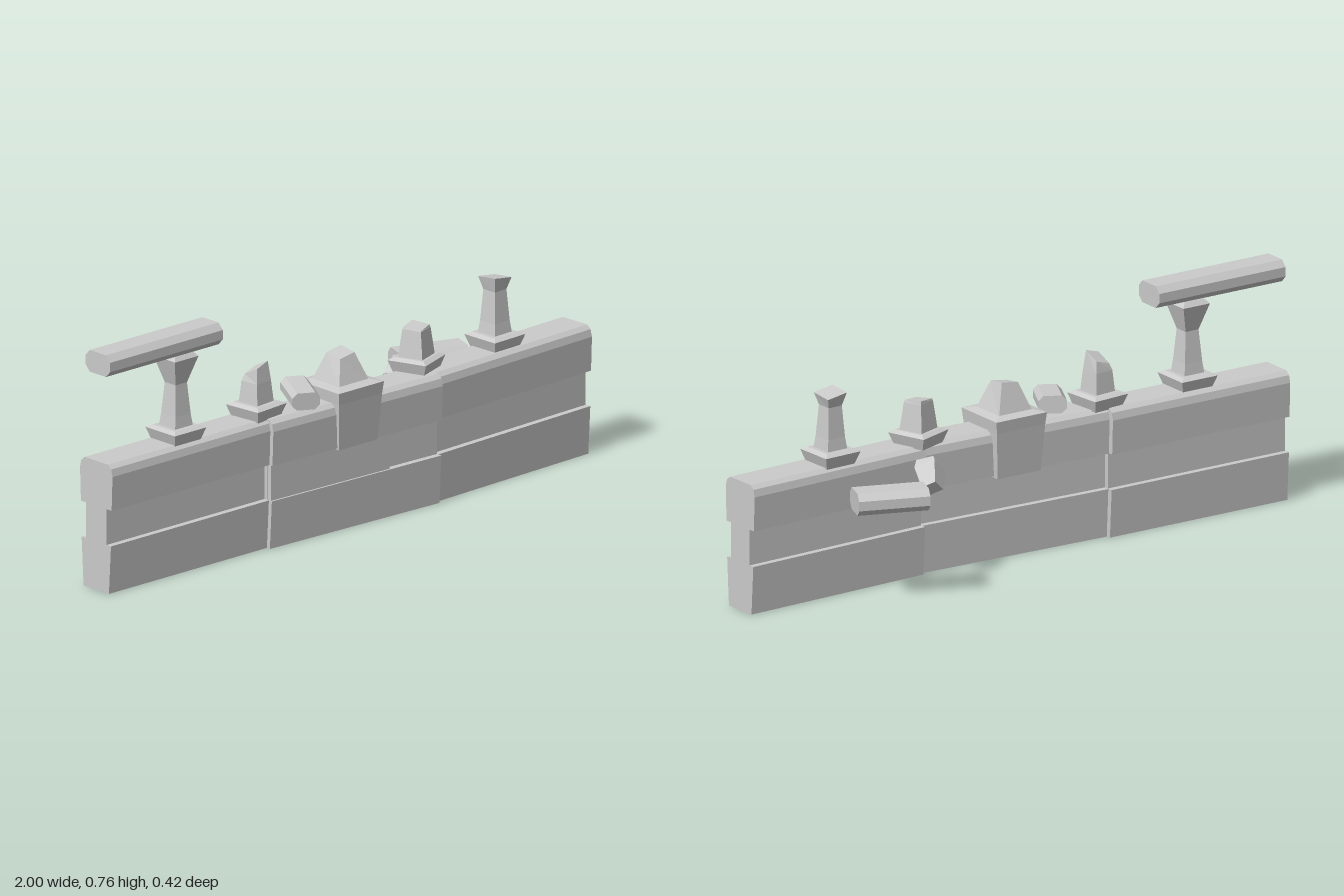
import * as THREE from 'three';

const material = new THREE.MeshStandardMaterial({ color: 0xcccccc, flatShading: true });

function facet(geometry) {
  const g = geometry.index ? geometry.toNonIndexed() : geometry;
  g.computeVertexNormals();
  return g;
}

function add(parent, name, geometry, x = 0, y = 0, z = 0) {
  const mesh = new THREE.Mesh(facet(geometry), material);
  mesh.name = name;
  mesh.position.set(x, y, z);
  parent.add(mesh);
  return mesh;
}

// Symmetric profile (half width, height) swept along x, centred on x = 0
function bar(half, length) {
  const mirrored = half.slice().reverse().map(([w, y]) => [-w, y]);
  const shape = new THREE.Shape([...half, ...mirrored].map(([w, y]) => new THREE.Vector2(w, y)));
  return new THREE.ExtrudeGeometry(shape, { depth: length, bevelEnabled: false })
    .translate(0, 0, -length / 2).rotateY(Math.PI / 2);
}

// Square column from (half width, height) rings; the top ring can be cut aslant
function column(rings, slantX = 0, slantZ = 0) {
  const top = rings[rings.length - 1][1];
  const points = [[0, rings[0][1]], ...rings, [0, top]]
    .map(([w, y]) => new THREE.Vector2(w * Math.SQRT2, y));
  const g = new THREE.LatheGeometry(points, 4).rotateY(Math.PI / 4);
  const p = g.attributes.position;
  for (let i = 0; i < p.count; i++) {
    if (Math.abs(p.getY(i) - top) < 1e-5) p.setY(i, top + slantX * p.getX(i) + slantZ * p.getZ(i));
  }
  return g;
}

const wallProfile = [
  [0.057, 0.005], [0.066, 0.16], [0.046, 0.16], [0.046, 0.275],
  [0.069, 0.275], [0.073, 0.385], [0.067, 0.408], [0.052, 0.42],
];
const railProfile = [
  [0.036, -0.035], [0.055, -0.015], [0.055, 0.015], [0.036, 0.035],
];

export function createModel() {
  const model = new THREE.Group();
  model.name = 'ruinedWall';

  // Three wall lengths, each set at a slightly different angle
  const segments = [
    ['rightWall', -1, -0.34, 0.088, 0.088],
    ['middleWall', -0.34, 0.345, 0.102, 0.126],
    ['leftWall', 0.34, 1, 0.112, 0.084],
  ];
  for (const [name, x0, x1, z0, z1] of segments) {
    const wall = add(model, name, bar(wallProfile, x1 - x0), (x0 + x1) / 2, 0, (z0 + z1) / 2);
    wall.rotation.y = -Math.atan2(z1 - z0, x1 - x0);
  }

  // Stone panel filling part of the recessed band
  const panel = add(model, 'bandPanel', new THREE.BoxGeometry(0.48, 0.115, 0.04), -0.1, 0.217, 0.15);
  panel.rotation.y = -0.036;

  // Central pier with a pointed cap
  add(model, 'centrePier', column([[0.08, 0.27], [0.09, 0.42], [0.094, 0.458], [0.062, 0.465]]), 0, 0, 0.108);
  add(model, 'pierCap', column([[0.062, 0.46], [0.03, 0.55]], 0.15, -0.15), 0, 0, 0.108);

  // Posts on flared footings: one whole, three broken at different heights
  const posts = [
    ['wholePost', -0.67, 0.09, 0, 0, 0,
      [[0.037, 0.46], [0.032, 0.5], [0.024, 0.6], [0.049, 0.685], [0.036, 0.7]]],
    ['brokenPost', -0.335, 0.09, 0.1, 0.3, 0.5, [[0.038, 0.46], [0.032, 0.53], [0.025, 0.572]]],
    ['crackedPost', 0.33, 0.093, 0.35, 0.1, -0.1, [[0.042, 0.46], [0.032, 0.55], [0.03, 0.557]]],
    ['tallBrokenPost', 0.66, 0.09, 0.04, -0.15, 0.1,
      [[0.037, 0.46], [0.032, 0.5], [0.025, 0.6], [0.036, 0.64]]],
  ];
  for (const [name, x, z, turn, slantX, slantZ, rings] of posts) {
    const post = new THREE.Group();
    post.name = name;
    post.position.set(x, 0, z);
    post.rotation.y = turn;
    add(post, 'footing', column([[0.053, 0.415], [0.066, 0.455], [0.05, 0.463]]));
    add(post, 'shaft', column(rings, slantX, slantZ));
    model.add(post);
  }

  // Surviving handrail and fallen pieces of it
  add(model, 'handrail', bar(railProfile, 0.47), -0.765, 0.735, 0.095);
  const pieces = [
    ['railPieceOnWall', 0.145, -0.175, 0.459, 0.115, 1.08, 0.06, 0.8],
    ['fallenRail', 0.225, 0.59, 0.344, -0.13, -0.35, 0, 1],
  ];
  for (const [name, length, x, y, z, turn, tilt, scale] of pieces) {
    const piece = add(model, name, bar(railProfile, length).scale(1, scale, scale), x, y, z);
    piece.rotation.set(0, turn, tilt);
  }

  // Broken shaft fragment behind the wall
  const fragment = add(model, 'fallenFragment',
    column([[0.024, -0.045], [0.036, 0.03], [0.03, 0.048]], 0.2, 0.2), 0.385, 0.357, -0.055);
  fragment.rotation.set(0.6, 0.6, 0.5);

  return model;
}
